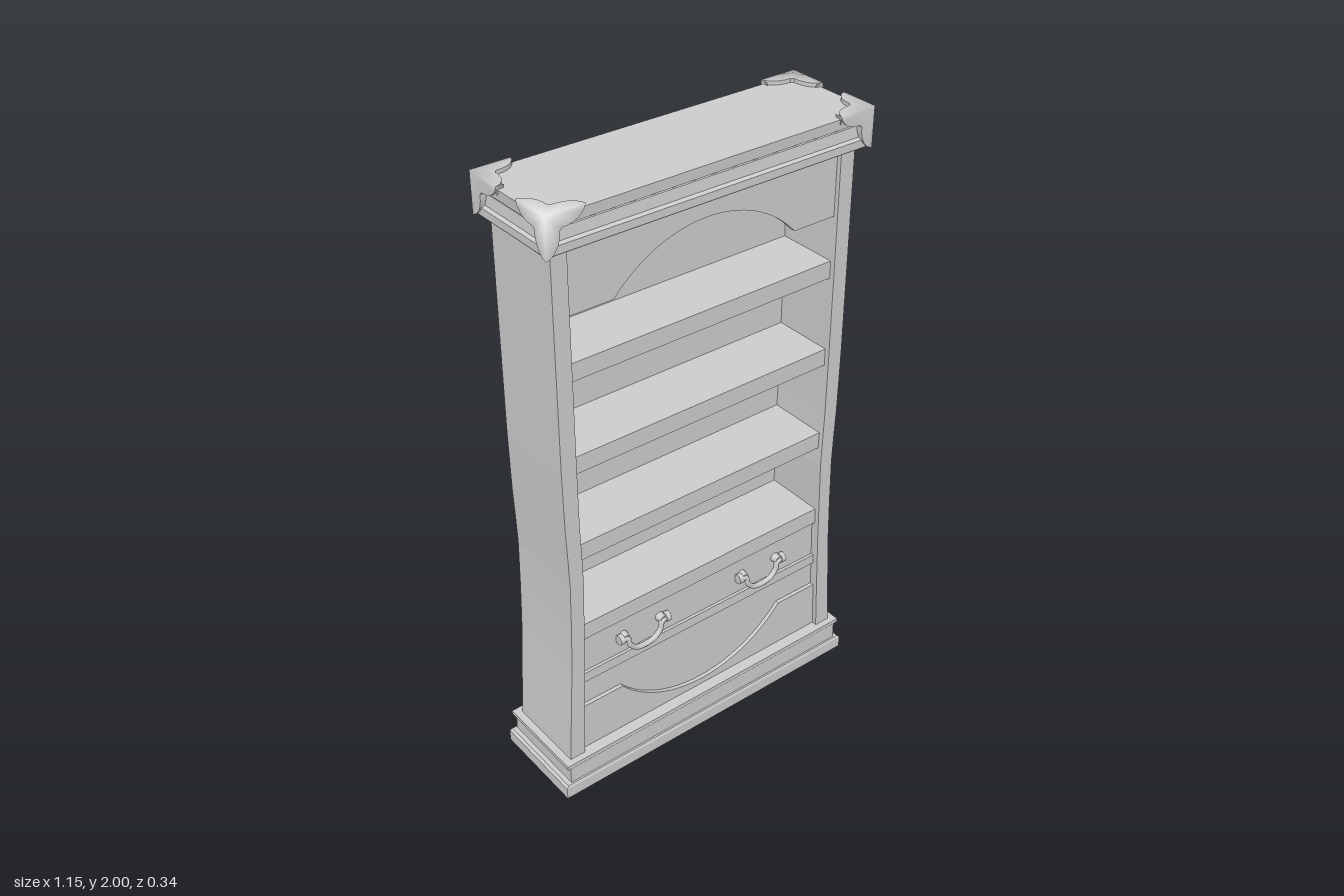
import * as THREE from 'three';
import { mergeVertices } from 'three/addons/utils/BufferGeometryUtils.js';

const grey = new THREE.MeshStandardMaterial({ color: 0xcccccc });

function add(parent, name, geometry, x = 0, y = 0, z = 0) {
  const mesh = new THREE.Mesh(geometry, grey);
  mesh.name = name;
  mesh.position.set(x, y, z);
  parent.add(mesh);
  return mesh;
}

// board spanning y0..y1 and z0..z1, centred on x
function board(parent, name, halfX, y0, y1, z0, z1) {
  return add(parent, name, new THREE.BoxGeometry(2 * halfX, y1 - y0, z1 - z0), 0, (y0 + y1) / 2, (z0 + z1) / 2);
}

function fromTriangles(positions) {
  const g = new THREE.BufferGeometry();
  g.setAttribute('position', new THREE.Float32BufferAttribute(positions, 3));
  return g;
}

// rectangular moulding: loops of [half width, half depth, height] joined upward, with caps
function moulding(loops) {
  const pos = [];
  const quad = (a, b, c, d) => pos.push(...a, ...b, ...c, ...a, ...c, ...d);
  const rings = loops.map(([x, z, y]) => [[-x, y, z], [x, y, z], [x, y, -z], [-x, y, -z]]);
  for (let i = 0; i + 1 < rings.length; i++) {
    for (let k = 0; k < 4; k++) {
      const n = (k + 1) % 4;
      quad(rings[i][k], rings[i][n], rings[i + 1][n], rings[i + 1][k]);
    }
  }
  const [a, b, c, d] = rings[0];
  quad(d, c, b, a);
  quad(...rings[rings.length - 1]);
  const g = fromTriangles(pos);
  g.computeVertexNormals();
  return g;
}

function plate(points, depth) {
  const shape = new THREE.Shape(points.map(([x, y]) => new THREE.Vector2(x, y)));
  return new THREE.ExtrudeGeometry(shape, { depth, bevelEnabled: false });
}

// shallow arc from x = -halfX to halfX, starting at height y and rising (or dipping) by rise
function arc(halfX, y, rise, steps = 20) {
  const h = Math.abs(rise), r = (halfX * halfX + h * h) / (2 * h);
  return Array.from({ length: steps + 1 }, (_, i) => {
    const x = -halfX + (2 * halfX * i) / steps;
    return [x, y + Math.sign(rise) * (Math.sqrt(r * r - x * x) - r + h)];
  });
}

// scalloped three-faced corner cap: smooth cover plus a rim
function cornerCap(parent, sx, sz) {
  const outline = [[0.125, 0], [0.118, 0.017], [0.105, 0.03], [0.09, 0.039], [0.07, 0.044], [0.052, 0.045], [0.049, 0.049]];
  const half = outline.slice(0, -1).reverse();
  const path = [...outline, ...half.map(([a, b]) => [b, a])];
  const cover = [], rim = [];
  for (let axis = 0; axis < 3; axis++) {
    const place = (a, b, c) => {
      const p = [0, 0, 0];
      p[axis] = a;
      p[(axis + 1) % 3] = b;
      p[(axis + 2) % 3] = c;
      return [sx * (0.549 - p[0]), 2 - p[1], sz * (0.168 - p[2])];
    };
    const tri = (out, a, b, c) => (sx * sz > 0 ? out.push(...a, ...b, ...c) : out.push(...a, ...c, ...b));
    for (let i = 0; i + 1 < path.length; i++) {
      const A = place(...path[i], 0), B = place(...path[i + 1], 0);
      const a = place(...path[i], 0.025), b = place(...path[i + 1], 0.025);
      tri(cover, place(0, 0, 0), A, B);
      tri(rim, A, a, b);
      tri(rim, A, b, B);
    }
  }
  const smooth = mergeVertices(fromTriangles(cover));
  smooth.computeVertexNormals();
  const edge = fromTriangles(rim);
  edge.computeVertexNormals();
  const cap = new THREE.Group();
  cap.name = 'cornerCap';
  add(cap, 'capCover', smooth);
  add(cap, 'capRim', edge);
  parent.add(cap);
}

// drop handle with two mounts
function handle(parent, x) {
  const g = new THREE.Group();
  g.name = 'drawerHandle';
  g.position.set(x, 0.49, 0.105);
  const pts = [[-0.085, 0, 0.018], [-0.066, -0.002, 0.02], [-0.058, -0.03, 0.021], [-0.035, -0.053, 0.021], [0, -0.06, 0.021]];
  const mirrored = pts.slice(0, -1).reverse().map(([px, py, pz]) => [-px, py, pz]);
  const curve = new THREE.CatmullRomCurve3([...pts, ...mirrored].map((p) => new THREE.Vector3(...p)));
  add(g, 'handleBail', new THREE.TubeGeometry(curve, 40, 0.009, 8));
  for (const s of [-1, 1]) {
    const mount = add(g, 'handleMount', new THREE.CylinderGeometry(0.012, 0.016, 0.022, 12), s * 0.07, 0.001, 0.011);
    mount.rotation.x = Math.PI / 2;
    const knob = add(g, 'handleEnd', new THREE.CylinderGeometry(0.017, 0.017, 0.016, 12), s * 0.088, 0, 0.013);
    knob.rotation.z = Math.PI / 2;
  }
  parent.add(g);
}

export function createModel() {
  const model = new THREE.Group();
  model.name = 'bookcase';

  // stepped base
  add(model, 'base', moulding([
    [0.573, 0.163, 0], [0.573, 0.163, 0.04], [0.565, 0.159, 0.048], [0.55, 0.153, 0.048],
    [0.55, 0.153, 0.105], [0.562, 0.157, 0.112], [0.562, 0.157, 0.125],
  ]));

  // waisted sides: [height, outer x, inner x]
  const waist = [
    [0.12, 0.537, 0.483], [0.3, 0.526, 0.475], [0.5, 0.514, 0.467], [0.65, 0.509, 0.463],
    [0.8, 0.506, 0.459], [0.9, 0.509, 0.461], [1.0, 0.513, 0.464], [1.2, 0.516, 0.465], [1.89, 0.516, 0.465],
  ];
  for (const s of [-1, 1]) {
    const outer = waist.map(([y, x]) => [s * x, y]);
    const inner = waist.map(([y, , x]) => [s * x, y]).reverse();
    add(model, s > 0 ? 'leftSide' : 'rightSide', plate([...outer, ...inner], 0.27), 0, 0, -0.135);
  }

  board(model, 'backPanel', 0.485, 0.12, 1.89, -0.12, -0.085);

  // shelves, the lowest one topping the drawer
  for (const top of [1.525, 1.225, 0.92, 0.62]) board(model, 'shelf', 0.47, top - 0.057, top, -0.09, 0.118);

  // drawer, rail and lower panel
  board(model, 'drawerFront', 0.475, 0.42, 0.57, -0.09, 0.105);
  board(model, 'lowerRail', 0.48, 0.39, 0.425, -0.09, 0.115);
  board(model, 'lowerPanel', 0.488, 0.12, 0.395, -0.09, 0.105);
  for (const s of [-1, 1]) handle(model, s * 0.235);

  // arched top panel and dipped apron
  const arch = [[-0.468, 1.89], [-0.468, 1.67], ...arc(0.315, 1.67, 0.142), [0.468, 1.67], [0.468, 1.89]];
  add(model, 'archPanel', plate(arch, 0.02), 0, 0, 0.1);
  const dip = [[-0.486, 0.12], [-0.486, 0.296], ...arc(0.32, 0.296, -0.149), [0.486, 0.296], [0.486, 0.12]];
  add(model, 'apron', plate(dip, 0.02), 0, 0, 0.098);

  // cornice
  add(model, 'cornice', moulding([
    [0.54, 0.157, 1.878], [0.543, 0.16, 1.883], [0.543, 0.16, 1.905], [0.534, 0.152, 1.912], [0.53, 0.148, 1.945],
    [0.522, 0.142, 1.945], [0.522, 0.142, 1.956], [0.54, 0.16, 1.956], [0.543, 0.162, 1.988],
  ]));
  for (const sx of [-1, 1]) for (const sz of [-1, 1]) cornerCap(model, sx, sz);

  return model;
}
